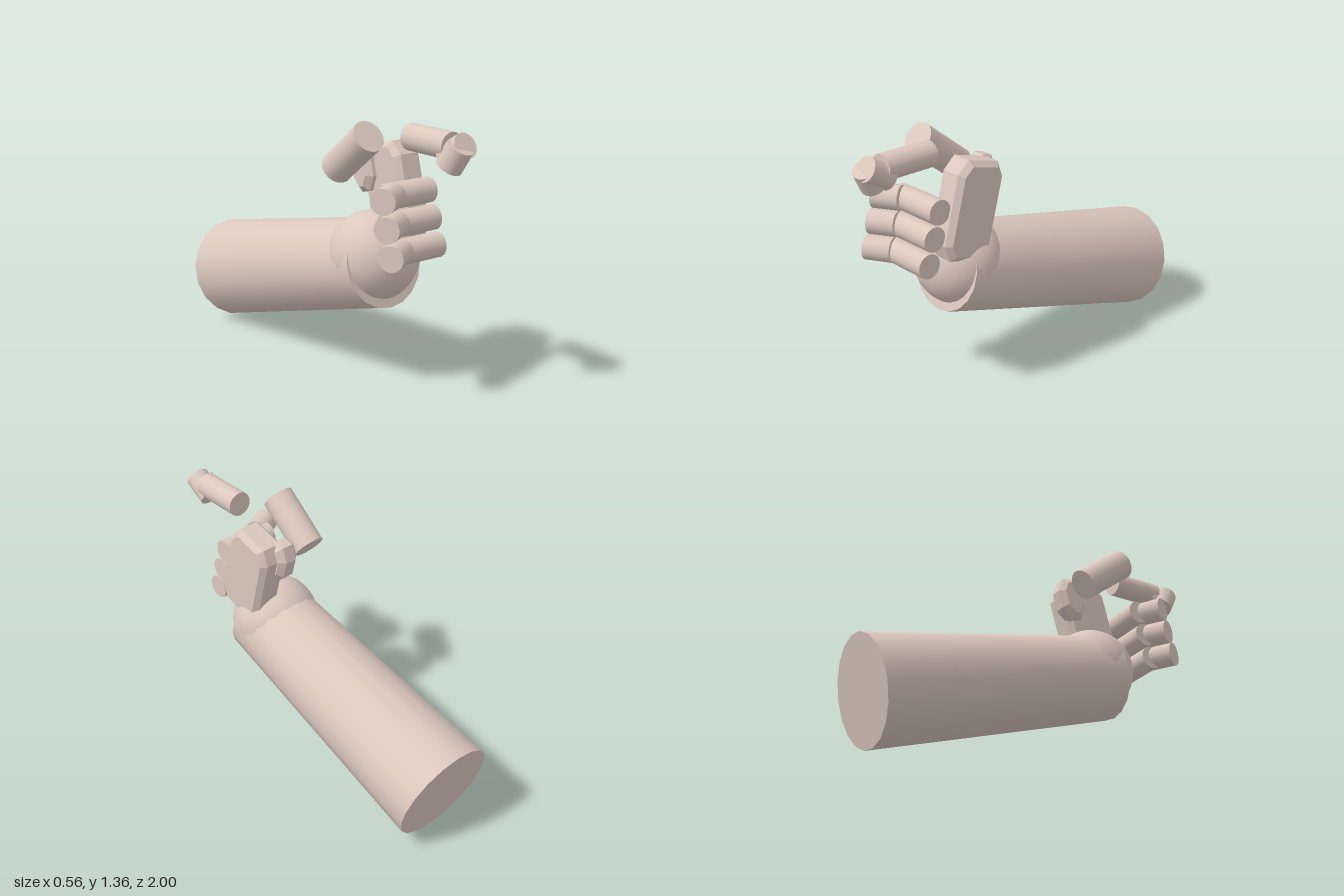
import * as THREE from 'three';

const TILT = THREE.MathUtils.degToRad(15);

export function createModel() {
  const model = new THREE.Group();
  model.name = 'forearmAndHand';

  const skin = new THREE.MeshStandardMaterial({ color: 0xdcc8bd });
  skin.name = 'skin';

  function add(parent, name, geometry) {
    const mesh = new THREE.Mesh(geometry, skin);
    mesh.name = name;
    parent.add(mesh);
    return mesh;
  }

  function group(name) {
    const g = new THREE.Group();
    g.name = name;
    model.add(g);
    return g;
  }

  // Straight cylinder between two points, with a radius at each end
  function rod(parent, name, from, to, rFrom, rTo = rFrom) {
    const a = new THREE.Vector3(...from);
    const b = new THREE.Vector3(...to);
    const dir = b.clone().sub(a);
    const mesh = add(parent, name, new THREE.CylinderGeometry(rTo, rFrom, dir.length(), 18));
    mesh.position.copy(a).lerp(b, 0.5);
    mesh.quaternion.setFromUnitVectors(new THREE.Vector3(0, 1, 0), dir.normalize());
    return mesh;
  }

  // Block with chamfered corners and edges, leaning back with the hand
  function chamferedBlock(name, center, width, height, depth, cutZ, cutY, bevel) {
    const w = depth / 2;
    const h = height / 2;
    const shape = new THREE.Shape([
      [w, -h + cutY], [w, h - cutY], [w - cutZ, h], [-w + cutZ, h],
      [-w, h - cutY], [-w, -h + cutY], [-w + cutZ, -h], [w - cutZ, -h],
    ].map(([x, y]) => new THREE.Vector2(x, y)));
    const geometry = new THREE.ExtrudeGeometry(shape, {
      depth: width - 2 * bevel, bevelEnabled: true, bevelSegments: 1,
      bevelThickness: bevel, bevelSize: bevel, bevelOffset: -bevel,
    });
    geometry.center();
    geometry.rotateY(Math.PI / 2);
    const mesh = add(model, name, geometry);
    mesh.position.set(...center);
    mesh.rotation.x = -TILT;
    return mesh;
  }

  // Forearm and wrist
  rod(model, 'forearm', [0, 0.28, -0.925], [0, 0.652, 0.46], 0.284, 0.23);
  const wrist = add(model, 'wrist', new THREE.SphereGeometry(0.232, 32, 20));
  wrist.position.set(0, 0.666, 0.373);

  // Palm and thumb base
  chamferedBlock('palm', [0.11, 0.985, 0.41], 0.16, 0.505, 0.29, 0.05, 0.075, 0.027);
  chamferedBlock('thumbBase', [0.04, 1.095, 0.27], 0.12, 0.24, 0.15, 0.045, 0.07, 0.03);

  // Thumb
  rod(model, 'thumb', [-0.138, 1.11, 0.25], [-0.138, 1.305, 0.5], 0.083);

  // Raised index finger, hooked at the tip
  const index = group('indexFinger');
  rod(index, 'lowerSegment', [0.053, 1.295, 0.582], [0.053, 1.295, 0.866], 0.066);
  rod(index, 'middleSegment', [0.055, 1.241, 0.832], [0.055, 1.311, 0.953], 0.063);
  rod(index, 'tipSegment', [0.036, 1.305, 0.942], [0.018, 1.204, 0.887], 0.064);

  // Three curled fingers
  ['middleFinger', 'ringFinger', 'littleFinger'].forEach((name, i) => {
    const finger = group(name);
    const y = 1.03 - 0.129 * i;
    const z = 0.609 + 0.037 * i;
    rod(finger, 'lowerSegment', [0.15, y, z], [-0.15, y, z], 0.064);
    const tipY = 1.042 - 0.129 * i;
    const tipZ = 0.714 + 0.031 * i;
    rod(finger, 'tipSegment', [-0.1, tipY, tipZ - 0.071], [-0.224, tipY, tipZ], 0.064);
  });

  return model;
}
